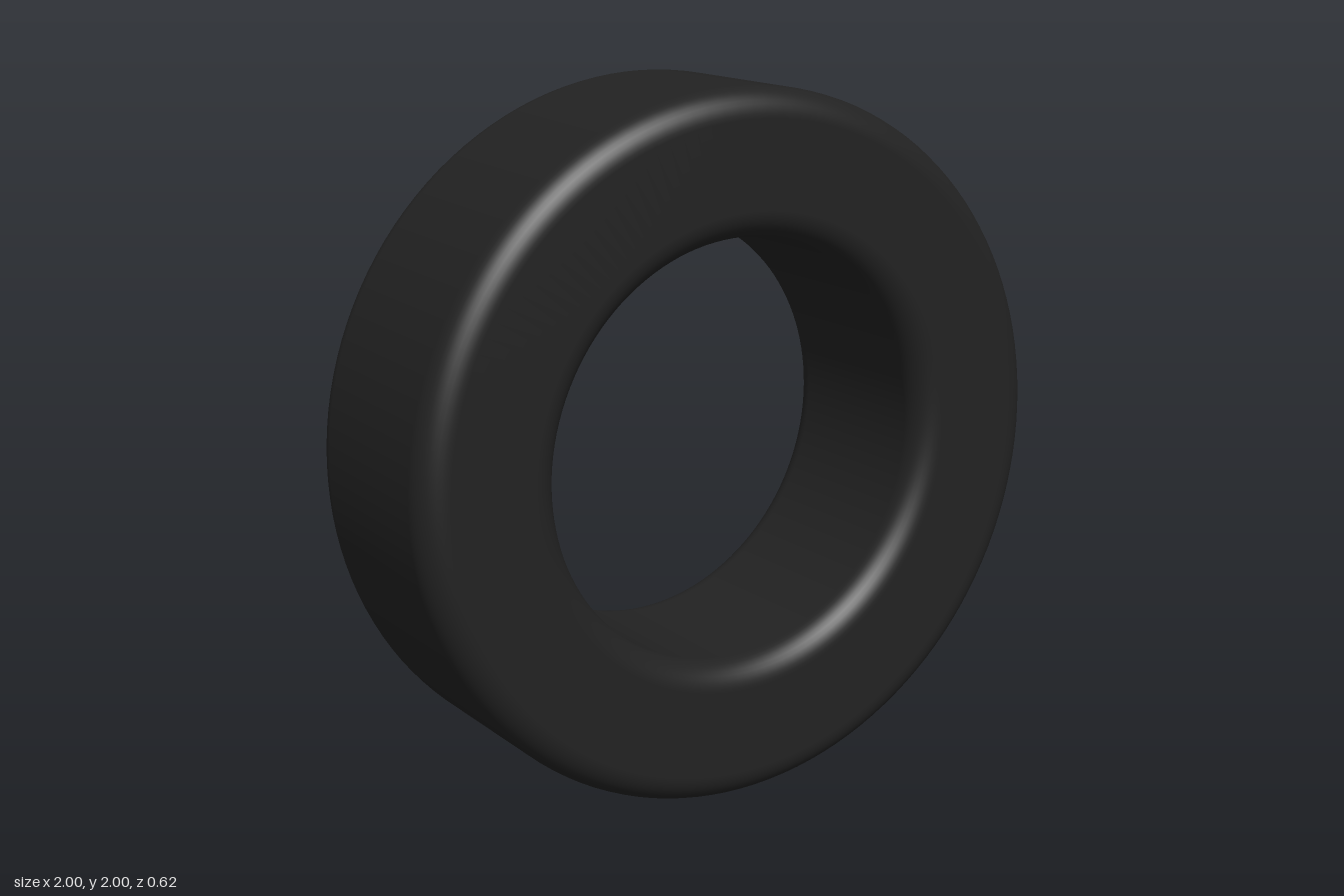
import * as THREE from 'three';

const OUTER = 1, INNER = 0.595, HALF_WIDTH = 0.312, FILLET = 0.08;

// Closed rounded-rectangle section (radius, width), counter-clockwise from the middle of the tread
function tyreSection() {
  const points = [new THREE.Vector2(OUTER, 0)];
  const r0 = INNER + FILLET, r1 = OUTER - FILLET, w = HALF_WIDTH - FILLET;
  const corners = [[r1, w], [r0, w], [r0, -w], [r1, -w]];
  const steps = 10;
  corners.forEach(([cx, cy], i) => {
    for (let s = 0; s <= steps; s++) {
      const a = (i + s / steps) * Math.PI / 2;
      points.push(new THREE.Vector2(cx + FILLET * Math.cos(a), cy + FILLET * Math.sin(a)));
    }
  });
  points.push(new THREE.Vector2(OUTER, 0));
  return points;
}

export function createModel() {
  const model = new THREE.Group();
  model.name = 'tyre';

  // Section spun round the axle, which runs along z
  const geometry = new THREE.LatheGeometry(tyreSection(), 128);
  geometry.rotateX(Math.PI / 2);
  const ring = new THREE.Mesh(geometry, new THREE.MeshStandardMaterial({ color: 0x222222 }));
  ring.name = 'tyreRing';
  ring.position.y = OUTER;
  model.add(ring);

  return model;
}
